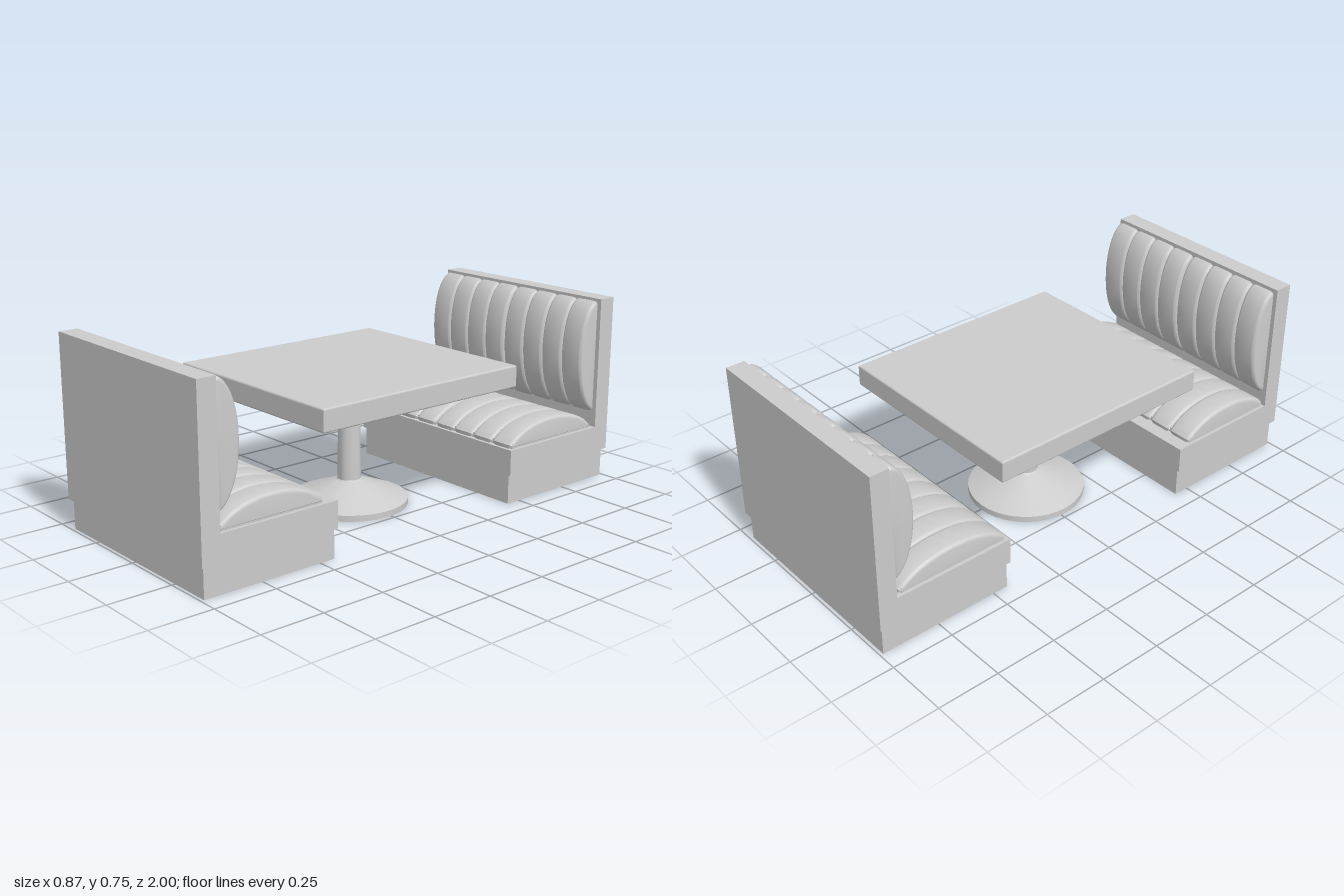
import * as THREE from 'three';
import { toCreasedNormals } from 'three/addons/utils/BufferGeometryUtils.js';

export function createModel() {
  const model = new THREE.Group();
  model.name = 'diningBooth';
  const grey = new THREE.MeshStandardMaterial({ color: 0xcccccc });
  grey.name = 'plainGrey';

  const add = (parent, name, geometry, x = 0, y = 0, z = 0) => {
    const mesh = new THREE.Mesh(geometry, grey);
    mesh.name = name;
    mesh.position.set(x, y, z);
    parent.add(mesh);
    return mesh;
  };

  const rectangle = (Type, x, z0, z1) => new Type([
    new THREE.Vector2(-x, -z1), new THREE.Vector2(x, -z1),
    new THREE.Vector2(x, -z0), new THREE.Vector2(-x, -z0),
  ]);

  // Hollow rectangular frame, open above and below
  const frame = (outer, inner, height) => {
    const shape = rectangle(THREE.Shape, ...outer);
    // Holes wind the opposite way, so that their walls face inwards
    shape.holes.push(new THREE.Path(rectangle(THREE.Path, ...inner).getPoints().reverse()));
    return new THREE.ExtrudeGeometry(shape, { depth: height, bevelEnabled: false }).rotateX(-Math.PI / 2);
  };

  // Padded channel: a side profile swept across x with rounded edges
  const channelWidth = 0.106;
  const bevel = 0.014;
  const round = 0.02;
  const channel = (profile) => {
    const g = new THREE.ExtrudeGeometry(profile, {
      depth: channelWidth - 2 * round, curveSegments: 20,
      bevelSize: bevel, bevelThickness: round, bevelOffset: -bevel, bevelSegments: 5,
    });
    g.translate(0, 0, -(channelWidth / 2 - round)).rotateY(-Math.PI / 2);
    return toCreasedNormals(g, 0.6);
  };

  // Profiles are drawn in z and y
  const seatProfile = (front, rear) => {
    const s = new THREE.Shape();
    const reach = (rear - front) * 0.19;
    s.moveTo(front + 0.002, 0.221);
    s.lineTo(front, 0.236);
    s.bezierCurveTo(front + reach, 0.336, rear - reach, 0.336, rear, 0.236);
    s.lineTo(rear, 0.221);
    s.closePath();
    return s;
  };

  const backProfile = new THREE.Shape();
  backProfile.moveTo(0.926, 0.728);
  backProfile.quadraticCurveTo(0.924, 0.742, 0.908, 0.742);
  backProfile.bezierCurveTo(0.801, 0.69, 0.801, 0.36, 0.908, 0.29);
  backProfile.quadraticCurveTo(0.924, 0.29, 0.926, 0.304);
  backProfile.closePath();
  const backChannel = channel(backProfile);

  const makeBench = (name, seatFront, seatRear) => {
    const bench = new THREE.Group();
    bench.name = name;
    const plinthHeight = 0.117;
    add(bench, 'plinth', frame([0.423, 0.438, 0.987], [0.417, 0.444, 0.981], plinthHeight));
    add(bench, 'seatFrame', frame([0.437, 0.432, 1], [0.417, 0.444, 0.981], 0.1), 0, plinthHeight, 0);
    add(bench, 'seatDeck', frame([0.437, 0.432, 1], [0.405, seatFront + 0.02, seatRear - 0.02], 0.006), 0, 0.215, 0);
    add(bench, 'backPanel', new THREE.BoxGeometry(0.874, 0.53, 0.075), 0, 0.485, 0.9625);

    // Two cushions of four channels each, with a slit between them
    const seatChannel = channel(seatProfile(seatFront, seatRear));
    for (let i = 0; i < 8; i++) {
      const x = (i - 3.5) * channelWidth + (i < 4 ? -0.003 : 0.003);
      add(bench, 'seatCushionChannel', seatChannel, x);
      add(bench, 'backCushionChannel', backChannel, x);
    }
    // Flat underside of each seat cushion
    for (const side of [-1, 1]) {
      const base = new THREE.BoxGeometry(4 * channelWidth - 0.006, 0.02, seatRear - seatFront - 0.02);
      add(bench, 'seatCushionBase', base, side * (2 * channelWidth + 0.003), 0.23, (seatFront + seatRear) / 2);
    }
    model.add(bench);
    return bench;
  };
  makeBench('frontBench', 0.486, 0.924);
  makeBench('rearBench', 0.443, 0.908).rotation.y = Math.PI;

  // Table with a finely bevelled edge
  const table = new THREE.Group();
  table.name = 'table';
  table.position.z = 0.015;
  model.add(table);
  const edge = 0.007;
  const top = new THREE.ExtrudeGeometry(rectangle(THREE.Shape, 0.428, -0.472, 0.472), {
    depth: 0.088 - 2 * edge, bevelSize: edge, bevelThickness: edge, bevelOffset: -edge, bevelSegments: 3,
  }).rotateX(-Math.PI / 2);
  add(table, 'tableTop', top, 0, 0.468 + edge, 0);

  // Turned pedestal: flared foot and slightly tapered column
  const points = [
    [0, 0], [0.231, 0], [0.231, 0.024], [0.16, 0.052], [0.05, 0.096],
    [0.046, 0.1], [0.043, 0.33], [0.036, 0.47],
  ].map(([r, y]) => new THREE.Vector2(r, y));
  add(table, 'pedestal', toCreasedNormals(new THREE.LatheGeometry(points, 40), 0.4));

  return model;
}
